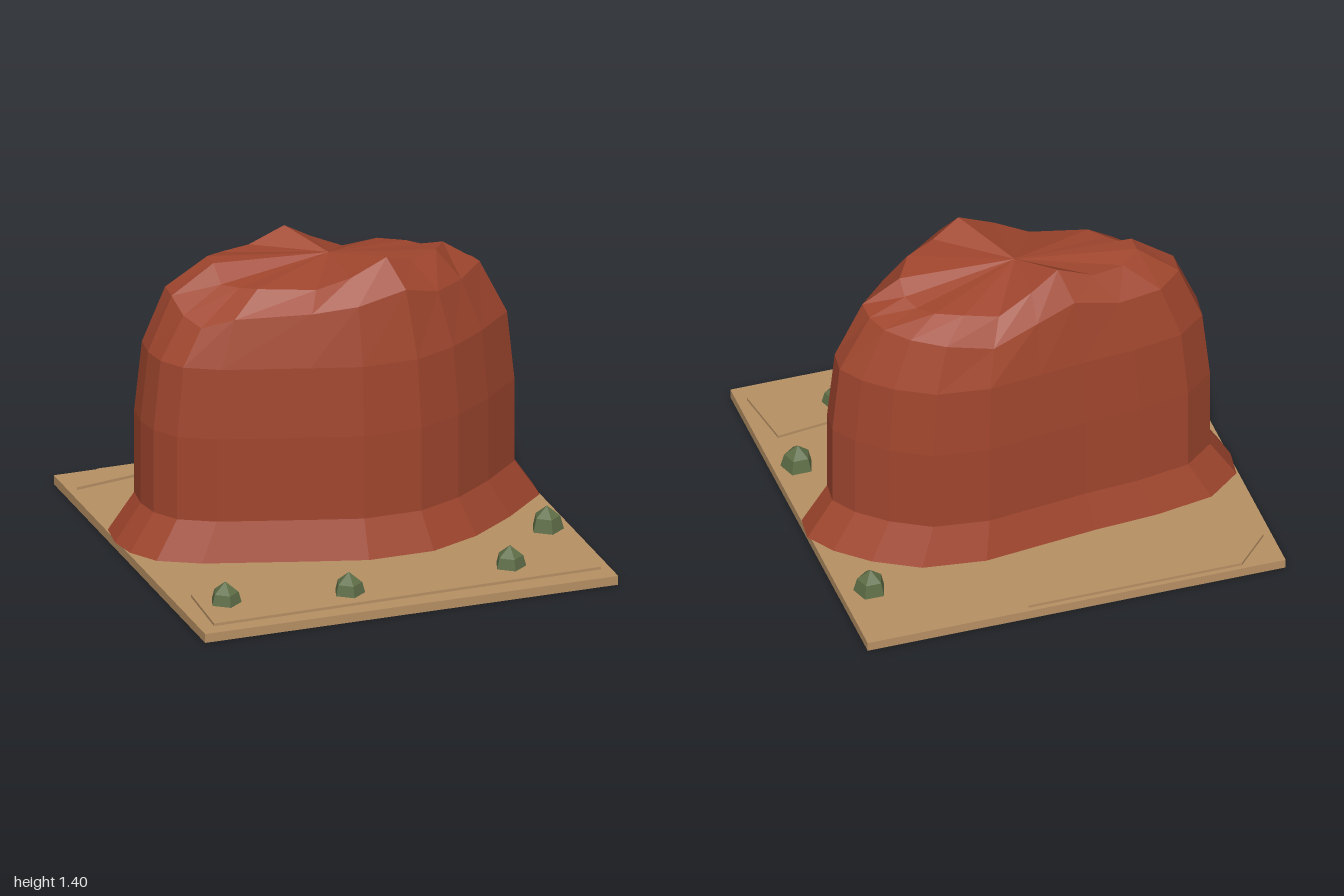
import * as THREE from 'three';

// Butte columns from the right end round the front:
// [foot x, foot z, shoulder scale, shoulder y, rim scale, rim y]
const COLUMNS = [
  [1, -0.16, 0.7, 1.2, 0.53, 1.27],
  [0.985, -0.03, 0.715, 1.21, 0.54, 1.325],
  [0.77, 0.17, 0.73, 1.2, 0.59, 1.345],
  [0.55, 0.33, 0.74, 1.21, 0.56, 1.345],
  [0.31, 0.43, 0.735, 1.27, 0.55, 1.4],
  [0, 0.43, 0.74, 1.22, 0.56, 1.325],
  [-0.27, 0.35, 0.74, 1.19, 0.56, 1.27],
  [-0.72, 0.21, 0.74, 1.17, 0.56, 1.28],
  [-0.9, 0.11, 0.74, 1.12, 0.52, 1.27],
  [-0.98, -0.02, 0.73, 1.15, 0.54, 1.27],
  [-1, -0.16, 0.735, 1.21, 0.54, 1.345],
  [-0.98, -0.31, 0.74, 1.21, 0.55, 1.347],
  [-0.82, -0.44, 0.74, 1.2, 0.55, 1.327],
  [-0.54, -0.49, 0.74, 1.2, 0.56, 1.33],
  [-0.25, -0.51, 0.735, 1.26, 0.53, 1.4],
  [0, -0.54, 0.735, 1.2, 0.55, 1.32],
  [0.29, -0.575, 0.735, 1.13, 0.56, 1.24],
  [0.58, -0.535, 0.735, 1.17, 0.55, 1.265],
  [0.78, -0.42, 0.73, 1.18, 0.56, 1.26],
  [0.92, -0.29, 0.72, 1.19, 0.54, 1.25],
];
// Regular rings of the wall: [scale of the foot, height]
const WALL = [[1, 0.042], [0.88, 0.22], [0.88, 0.62], [0.845, 0.95]];
const CENTRE_Z = -0.1;
const SUMMIT_Y = 1.335;

function butteGeometry() {
  const columns = COLUMNS.map(([x, z, shoulderScale, shoulderY, rimScale, rimY]) =>
    [...WALL, [shoulderScale, shoulderY], [rimScale, rimY]]
      .map(([s, y]) => [x * s, y, CENTRE_Z + (z - CENTRE_Z) * s]));
  const pos = [];
  columns.forEach((col, i) => {
    const next = columns[(i + 1) % columns.length];
    const top = col.length - 1;
    for (let r = 0; r < top; r++) {
      pos.push(...col[r], ...col[r + 1], ...next[r], ...next[r], ...col[r + 1], ...next[r + 1]);
    }
    // Summit fan
    pos.push(...col[top], 0, SUMMIT_Y, CENTRE_Z, ...next[top]);
  });
  const g = new THREE.BufferGeometry();
  g.setAttribute('position', new THREE.Float32BufferAttribute(pos, 3));
  g.computeVertexNormals();
  return g;
}

// Thin slab with an [x, z] outline
function slabGeometry(outline, height) {
  const shape = new THREE.Shape(outline.map(([x, z]) => new THREE.Vector2(x, -z)));
  return new THREE.ExtrudeGeometry(shape, { depth: height, bevelEnabled: false }).rotateX(-Math.PI / 2);
}

export function createModel() {
  const group = new THREE.Group();
  const material = (name, color) => {
    const m = new THREE.MeshStandardMaterial({ color, flatShading: true });
    m.name = name;
    return m;
  };
  const rock = material('redRock', 0xa0462e);
  const sand = material('sand', 0xb79064);
  const green = material('scrubGreen', 0x5f6e47);
  const add = (name, geometry, mat, x = 0, y = 0, z = 0) => {
    const mesh = new THREE.Mesh(geometry, mat);
    mesh.name = name;
    mesh.position.set(x, y, z);
    group.add(mesh);
  };

  // Ground
  add('groundSlab', new THREE.BoxGeometry(1.976, 0.043, 1.976), sand, -0.001, 0.0215, 0);
  add('frontSandPatch', slabGeometry([[-0.9, 0.56], [-0.34, 0.505], [0.33, 0.65],
    [0.895, 0.58], [0.94, 0.89], [-0.92, 0.915]], 0.015), sand, 0, 0.041, 0);
  add('backSandPatch', slabGeometry([[-0.95, -0.79], [-0.79, -0.965], [0.22, -0.965],
    [0.11, -0.835], [-0.455, -0.88]], 0.015), sand, 0, 0.041, 0);

  // Rock
  add('butte', butteGeometry(), rock);

  // Five-sided desert shrubs
  const profile = [[0.077, 0], [0.06, 0.064], [0, 0.114]].map(([r, y]) => new THREE.Vector2(r, y));
  const shrub = new THREE.LatheGeometry(profile, 5);
  [[-0.786, 0.697], [-0.226, 0.782], [0.561, 0.737], [0.876, 0.36], [0.853, -0.617]]
    .forEach(([x, z], i) => add(`shrub${i + 1}`, shrub, green, x, 0.042, z));

  return group;
}
